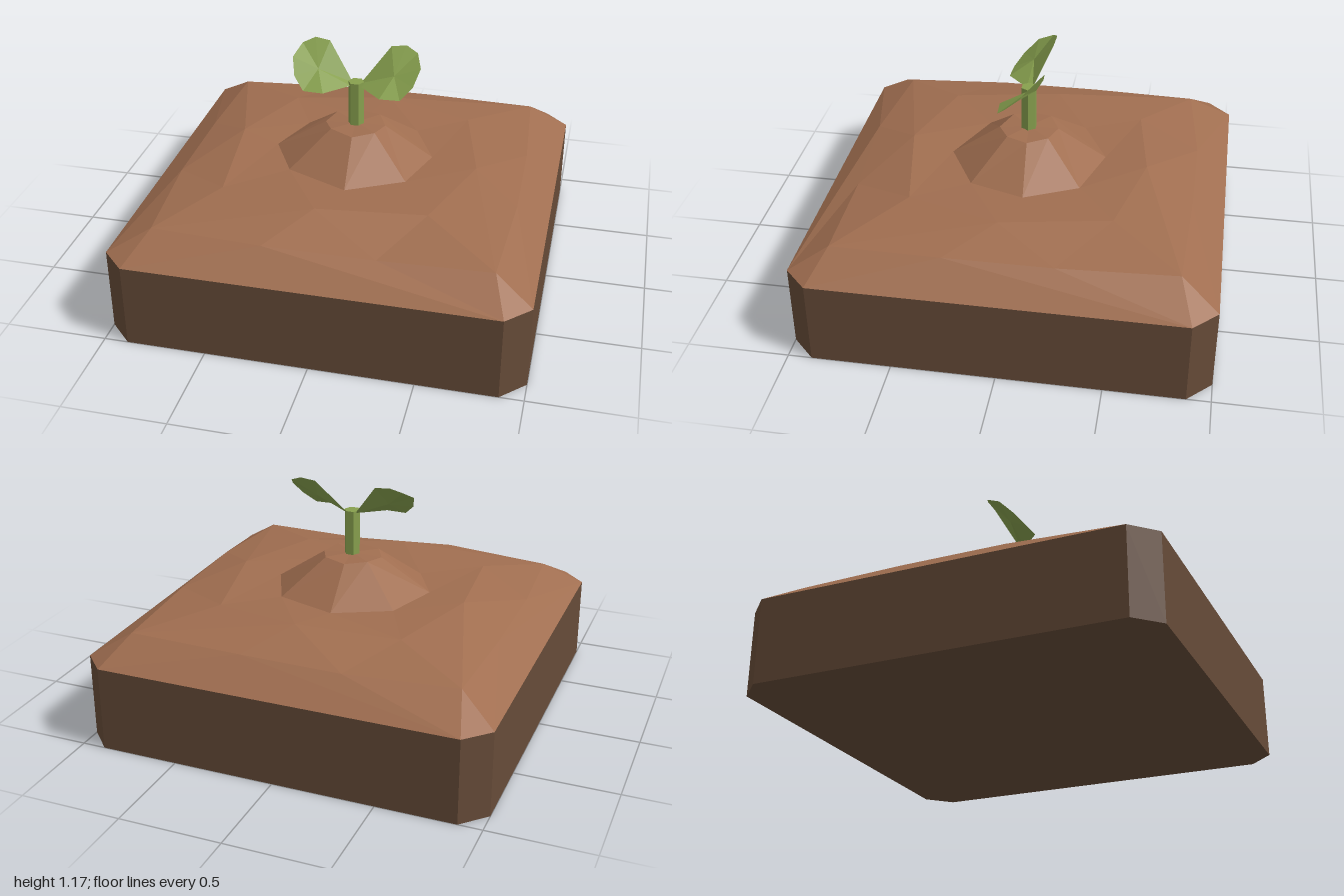
import * as THREE from 'three';

const mat = (name, color, side = THREE.FrontSide) => {
  const m = new THREE.MeshStandardMaterial({ color, flatShading: true, side });
  m.name = name;
  return m;
};

const angleOf = (p) => (Math.atan2(p[2], p[0]) + Math.PI * 2) % (Math.PI * 2);
const sorted = (ring) => [...ring].sort((a, b) => angleOf(a) - angleOf(b));

// Joins two rings of points, outer to inner, walking round by angle
function bridge(outerRing, innerRing, out) {
  const a = sorted(outerRing), b = sorted(innerRing);
  const at = (r, i) => r[i % r.length];
  const ang = (r, i) => angleOf(at(r, i)) + (i >= r.length ? Math.PI * 2 : 0);
  let i = 0, j = 0;
  while (i < a.length || j < b.length) {
    const stepOuter = j >= b.length || (i < a.length && ang(a, i + 1) <= ang(b, j + 1));
    if (stepOuter) {
      out.push(...at(a, i), ...at(b, j), ...at(a, i + 1));
      i++;
    } else {
      if (b.length > 1) out.push(...at(a, i), ...at(b, j), ...at(b, j + 1));
      j++;
    }
  }
}

function fromTriangles(positions) {
  const g = new THREE.BufferGeometry();
  g.setAttribute('position', new THREE.Float32BufferAttribute(positions, 3));
  g.computeVertexNormals();
  return g;
}

function ringSurface(rings) {
  const out = [];
  for (let k = 0; k < rings.length - 1; k++) bridge(rings[k], rings[k + 1], out);
  return fromTriangles(out);
}

export function createModel() {
  const model = new THREE.Group();
  model.name = 'seedlingPlot';
  const earth = mat('dark earth', 0x664b38);
  const soil = mat('loose soil', 0xa06e50);
  const green = mat('leaf green', 0x87a04e, THREE.DoubleSide);

  const add = (name, geometry, material) => {
    const mesh = new THREE.Mesh(geometry, material);
    mesh.name = name;
    model.add(mesh);
    return mesh;
  };

  // Square block of earth with cut corners
  const c = 0.885, h = 0.42;
  const corners = [[1, -c], [1, c], [c, 1], [-c, 1], [-1, c], [-1, -c], [-c, -1], [c, -1]];
  const outline = new THREE.Shape(corners.map(([x, z]) => new THREE.Vector2(x, z)));
  const block = new THREE.ExtrudeGeometry(outline, { depth: h, bevelEnabled: false });
  block.rotateX(-Math.PI / 2);
  add('earthBlock', block, earth);

  // Uneven soil rising from the rim to a low plateau
  const rim = corners.map(([x, z]) => [x, h, z]);
  const shoulder = [
    [-0.82, 0.54, -0.78], [-0.28, 0.54, -0.84], [0.22, 0.545, -0.84], [0.8, 0.545, -0.82],
    [0.84, 0.55, -0.25], [0.85, 0.555, 0.27], [0.82, 0.535, 0.81], [0.28, 0.525, 0.82],
    [-0.25, 0.545, 0.85], [-0.8, 0.53, 0.8], [-0.84, 0.54, 0.27], [-0.84, 0.54, -0.25],
  ];
  const crest = [
    [-0.45, 0.6, -0.53], [0.05, 0.625, -0.6], [0.5, 0.6, -0.48], [0.62, 0.615, 0.05],
    [0.46, 0.6, 0.51], [-0.06, 0.625, 0.61], [-0.55, 0.6, 0.48], [-0.61, 0.625, -0.07],
  ];
  const foot = [
    [-0.04, 0.605, -0.385], [0.26, 0.605, -0.29], [0.385, 0.605, -0.03], [0.3, 0.605, 0.24],
    [0.03, 0.605, 0.385], [-0.28, 0.605, 0.25], [-0.405, 0.61, 0.02], [-0.31, 0.605, -0.25],
  ];
  add('soilSurface', ringSurface([rim, shoulder, crest, foot]), soil);

  // Small mound around the stem
  const top = foot.map(([x, , z], i) => [x * 0.38, 0.765 + (i % 2) * 0.008, z * 0.38]);
  add('mound', ringSurface([foot, top, [[0, 0.775, 0]]]), soil);

  // Six-sided stem
  const stem = new THREE.CylinderGeometry(0.04, 0.04, 0.26, 6);
  stem.rotateY(Math.PI / 2);
  stem.translate(0, 0.87, 0);
  add('stem', stem, green);

  // Pair of tilted leaves, slightly cupped along the middle
  const edge = [
    [0.02, 0.985, -0.015], [0.155, 1.16, -0.1], [0.23, 1.17, -0.105], [0.29, 1.145, -0.08],
    [0.32, 1.1, 0], [0.295, 1.03, 0.07], [0.24, 0.975, 0.115], [0.14, 0.975, 0.12],
    [0.025, 0.98, 0.015],
  ];
  const middle = [0.19, 1.05, 0.005];
  for (const [name, s] of [['leftLeaf', 1], ['rightLeaf', -1]]) {
    const flip = ([x, y, z]) => [x * s, y, z];
    const tris = [];
    edge.forEach((p, i) => {
      const q = edge[(i + 1) % edge.length];
      const pair = s > 0 ? [q, p] : [p, q];
      tris.push(...flip(middle), ...flip(pair[0]), ...flip(pair[1]));
    });
    add(name, fromTriangles(tris), green);
  }
  return model;
}
